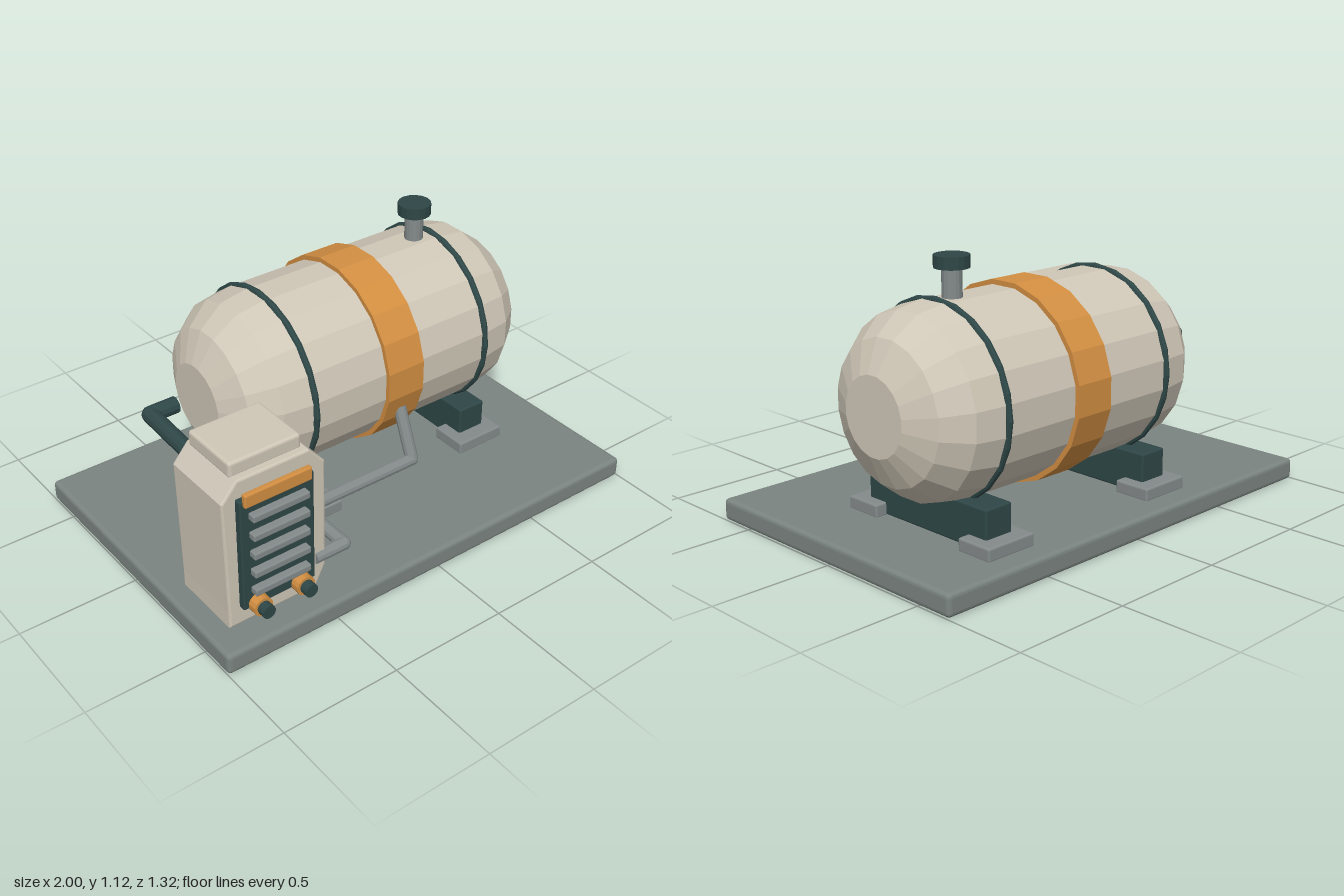
import * as THREE from 'three';
import { RoundedBoxGeometry } from 'three/addons/geometries/RoundedBoxGeometry.js';

const mat = (name, color, flatShading = true) => {
  const m = new THREE.MeshStandardMaterial({ color, flatShading });
  m.name = name;
  return m;
};

export function createModel() {
  const cream = mat('cream paint', 0xcfc7b7);
  const slab = mat('grey green slab', 0x7b8481);
  const steel = mat('grey steel', 0x848a8a);
  const dark = mat('dark teal', 0x2f4747);
  const orange = mat('orange paint', 0xd38f42);
  const root = new THREE.Group();
  root.name = 'tankUnit';

  const add = (name, geo, material, x = 0, y = 0, z = 0, parent = root) => {
    const mesh = new THREE.Mesh(geo, material);
    mesh.name = name;
    mesh.position.set(x, y, z);
    parent.add(mesh);
    return mesh;
  };
  // box given by its limits on each axis
  const box = (name, material, [x0, x1], [y0, y1], [z0, z1], r = 0.008) =>
    add(name, new RoundedBoxGeometry(x1 - x0, y1 - y0, z1 - z0, 2, r), material,
      (x0 + x1) / 2, (y0 + y1) / 2, (z0 + z1) / 2);
  // straight round bar between two points
  const bar = (name, material, a, b, r, sides = 12, parent = root) => {
    const p = new THREE.Vector3(...a), q = new THREE.Vector3(...b);
    const d = q.clone().sub(p);
    const mesh = add(name, new THREE.CylinderGeometry(r, r, d.length(), sides), material,
      ...p.add(q).multiplyScalar(0.5).toArray(), parent);
    mesh.quaternion.setFromUnitVectors(new THREE.Vector3(0, 1, 0), d.normalize());
  };
  // chain of bars with ball elbows
  const pipe = (name, material, pts, r) => {
    const g = new THREE.Group();
    g.name = name;
    root.add(g);
    for (let i = 1; i < pts.length; i++) {
      bar(name + 'Section', material, pts[i - 1], pts[i], r, 12, g);
      if (i < pts.length - 1) add(name + 'Elbow', new THREE.SphereGeometry(r, 12, 8), material, ...pts[i], g);
    }
  };

  // base slab
  box('base', slab, [-1, 1], [0, 0.09], [-0.66, 0.66], 0.018);

  // tank with domed ends, turned about the x axis
  const ty = 0.585, tz = -0.165, mid = 0.1625, sides = 20;
  const dome = [[0.4475, 0.38], [0.57, 0.36], [0.675, 0.28], [0.7375, 0.155], [0.7375, 0]];
  const turned = (pts) => new THREE.LatheGeometry(
    pts.map(([x, r]) => new THREE.Vector2(r, x)), sides, Math.PI / sides).rotateZ(-Math.PI / 2);
  const profile = [...dome.map(([x, r]) => [-x, r]).reverse(), ...dome];
  add('tank', turned(profile), cream, mid, ty, tz);
  add('centreBand', turned([[-0.088, 0.37], [-0.088, 0.4], [0.088, 0.4], [0.088, 0.37]]), orange, mid, ty, tz);

  // straps, saddles and feet
  for (const x of [-0.27, 0.595]) {
    add('tankStrap', new THREE.TorusGeometry(0.379, 0.014, 8, 24).rotateY(Math.PI / 2), dark, x, ty, tz);
    box('saddle', dark, [x - 0.065, x + 0.065], [0.09, 0.256], [-0.49, 0.16]);
    for (const z of [-0.475, 0.145])
      box('saddleFoot', steel, [x - 0.115, x + 0.115], [0.085, 0.14], [z - 0.081, z + 0.081]);
  }

  // filler neck and cap
  bar('fillerNeck', steel, [0.513, 0.9, tz], [0.513, 1.08, tz], 0.039, 16);
  bar('fillerCap', dark, [0.513, 1.072, tz], [0.513, 1.12, tz], 0.069, 16);

  // cabinet with cut corners
  const outline = new THREE.Shape([
    [-0.907, 0.108], [-0.53, 0.108], [-0.488, 0.19], [-0.488, 0.665], [-0.552, 0.737],
    [-0.855, 0.737], [-0.917, 0.665], [-0.907, 0.17],
  ].map(([x, y]) => new THREE.Vector2(x, y)));
  add('cabinet', new THREE.ExtrudeGeometry(outline,
    { depth: 0.3, bevelThickness: 0.008, bevelSize: 0.008, bevelSegments: 2 }), cream, 0, 0, 0.238);
  box('cabinetLid', cream, [-0.866, -0.558], [0.735, 0.8], [0.25, 0.512], 0.012);

  // front grille
  box('grillePanel', dark, [-0.869, -0.55], [0.18, 0.67], [0.535, 0.575], 0.006);
  for (let i = 0; i < 5; i++) {
    const y = 0.265 + i * 0.0835;
    box('grilleSlat', steel, [-0.834, -0.588], [y - 0.015, y + 0.015], [0.565, 0.607], 0.006);
  }
  box('grilleHeader', orange, [-0.856, -0.567], [0.648, 0.704], [0.567, 0.591], 0.006);
  for (const x of [-0.81, -0.62]) {
    bar('portCollar', orange, [x, 0.197, 0.57], [x, 0.197, 0.615], 0.04, 14);
    bar('port', dark, [x, 0.197, 0.55], [x, 0.197, 0.651], 0.028, 14);
  }

  // supply pipe from cabinet to tank
  pipe('supplyPipe', steel, [[-0.527, 0.234, 0.538], [-0.387, 0.234, 0.538],
    [-0.387, 0.234, 0.278], [0.162, 0.234, 0.278], [0.162, 0.45, 0.19]], 0.027);

  // valve handle
  bar('valveStem', orange, [-0.387, 0.25, 0.28], [-0.387, 0.345, 0.28], 0.015, 10);
  bar('valveHandle', orange, [-0.465, 0.345, 0.28], [-0.305, 0.345, 0.28], 0.012, 10);

  // return pipe behind the cabinet
  pipe('returnPipe', dark, [[-0.7, 0.56, 0.235], [-0.78, 0.58, 0.13],
    [-0.78, 0.6, -0.172], [-0.665, 0.6, -0.172]], 0.034);

  return root;
}
